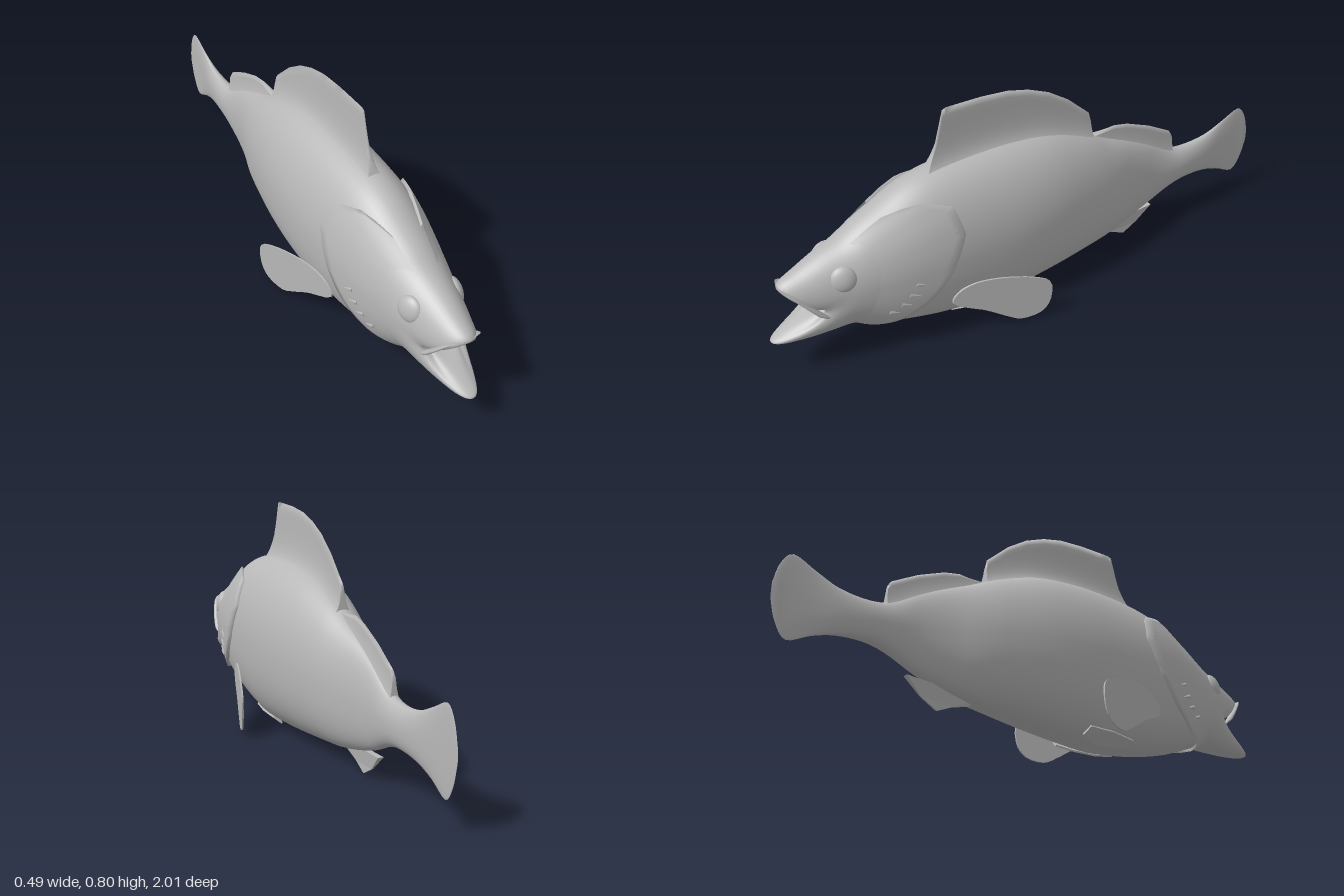
import * as THREE from 'three';

// Cross-sections from tail to throat: z, bottom, top, half width, jaw stretch
const SECTIONS = [
  [-1.0, .22, .27, .001, 0], [-.98, .15, .34, .003, 0], [-.94, .1, .383, .005, 0],
  [-.86, .135, .35, .013, 0], [-.78, .16, .318, .025, 0], [-.68, .168, .308, .036, 0],
  [-.6, .152, .325, .04, 0], [-.5, .11, .385, .047, 0], [-.4, .08, .435, .068, 0],
  [-.3, .058, .48, .1, 0], [-.2, .047, .53, .125, 0], [-.05, .032, .585, .153, 0],
  [.1, .02, .608, .167, 0], [.25, .013, .612, .168, 0], [.4, .03, .602, .163, 0],
  [.5, .05, .578, .155, 0], [.6, .078, .53, .142, 0], [.67, .105, .495, .128, 0],
  [.74, .13, .455, .112, 0], [.78, .132, .425, .1, .3], [.81, .135, .392, .088, .65],
  [.83, .145, .362, .072, 1], [.825, .165, .338, .052, .95], [.78, .228, .328, .046, .3],
  [.7, .24, .31, .04, 0], [.69, .272, .274, .001, 0],
];
const LAST = SECTIONS.length - 1;
const spline = new THREE.CubicInterpolant(SECTIONS.map((_, i) => i), SECTIONS.flat(), 5);

// Point on the body skin at section position u and angle t, pushed out by d;
// the back is narrower than the belly
function skin(u, t, d = 0) {
  const [z, lo, hi, w, jaw] = spline.evaluate(u);
  const c = Math.cos(t), s = Math.sin(t);
  const round = (v, p) => Math.sign(v) * Math.abs(v) ** p;
  const reach = s > 0 ? 0.125 * s ** 0.7 : 0.17 * (-s) ** 1.6;
  const y = (lo + hi) / 2 + round(s, s > 0 ? 1 : .87) * ((hi - lo) / 2 + d);
  return [round(c, s > 0 ? 1.02 : .87) * (w + d), y, z + jaw * reach];
}

function sectionAt(z) {
  let i = 0;
  while (i < 20 && SECTIONS[i + 1][0] < z) i++;
  return i + (z - SECTIONS[i][0]) / (SECTIONS[i + 1][0] - SECTIONS[i][0]);
}

// Smooth surface from a grid of points
function grid(rows, cols, closed, point) {
  const pos = [], index = [], n = closed ? cols : cols + 1;
  for (let i = 0; i <= rows; i++) for (let j = 0; j < n; j++) pos.push(...point(i / rows, j / cols));
  for (let i = 0; i < rows; i++) for (let j = 0; j < cols; j++) {
    const a = i * n + j, b = i * n + (j + 1) % n;
    index.push(a, b, a + n, b, b + n, a + n);
  }
  const g = new THREE.BufferGeometry();
  g.setAttribute('position', new THREE.Float32BufferAttribute(pos, 3));
  g.setIndex(index);
  g.computeVertexNormals();
  return g;
}

// Back fin rising from the skin to a [z, y] edge, flaring softly at the root
function backFin(edge, flare) {
  const n = edge.length - 1;
  return grid(n * 3, 32, false, (a, b) => {
    const i = Math.min(n - 1, Math.floor(a * n + 1e-6)), f = a * n - i;
    const z = THREE.MathUtils.lerp(edge[i][0], edge[i + 1][0], f);
    const tip = THREE.MathUtils.lerp(edge[i][1], edge[i + 1][1], f);
    const root = skin(sectionAt(z), Math.PI / 2)[1] - .01;
    const k = 1 - Math.abs(2 * b - 1), h = Math.max(0, tip - root) * k * k;
    const x = .0015 + flare * Math.exp(-h / .03) + .006 * Math.exp(-h / .1);
    return [Math.sign(2 * b - 1) * x, root + h, z];
  });
}

// Flat fin from a [z, y] outline; rule moves each vertex, with x running from -1 to 1
function fin(outline, rule) {
  const shape = new THREE.Shape(outline.map(([z, y]) => new THREE.Vector2(-z, y)));
  const g = new THREE.ExtrudeGeometry(shape, { depth: 2, bevelEnabled: false });
  g.translate(0, 0, -1).rotateY(Math.PI / 2);
  const p = g.attributes.position;
  for (let i = 0; i < p.count; i++) p.setXYZ(i, ...rule(p.getX(i), p.getY(i), p.getZ(i)));
  g.computeVertexNormals();
  return g;
}

// Rounded outline through a few points
function rounded(points, count = 36) {
  const curve = new THREE.CatmullRomCurve3(points.map(([z, y]) => new THREE.Vector3(z, y, 0)), true, 'centripetal');
  return curve.getPoints(count).slice(0, -1).map(p => [p.x, p.y]);
}

export function createModel() {
  const fish = new THREE.Group();
  fish.name = 'fish';
  const grey = new THREE.MeshStandardMaterial({ color: 0xb8b8b8, side: THREE.DoubleSide });
  grey.name = 'grey';
  const add = (name, geometry) => {
    const mesh = new THREE.Mesh(geometry, grey);
    mesh.name = name;
    fish.add(mesh);
    return mesh;
  };

  // Body, tail fin and open mouth in one skin
  add('body', grid(LAST * 4, 48, true, (a, b) => skin(a * LAST, b * Math.PI * 2)));

  // Fins on the midline
  add('frontDorsalFin', backFin([[.415, .6], [.405, .62], [.375, .69], [.345, .8], [.33, .806], [.2, .803],
    [.1, .793], [.02, .772], [-.06, .737], [-.14, .683], [-.23, .6], [-.235, .575], [-.24, .5]], .02));
  add('rearDorsalFin', backFin([[-.23, .5], [-.25, .504], [-.34, .511], [-.4, .498], [-.5, .456],
    [-.6, .4], [-.613, .38], [-.617, .315]], .008));
  add('analFin', fin([[-.26, .08], [-.29, .048], [-.35, .032], [-.41, .005], [-.47, .038], [-.53, .095],
    [-.44, .09], [-.42, .12]], (x, y, z) => [x * (y > .07 ? .01 : .003), y, z]));

  // Edge of the gill cover: height on the section against z
  const edge = [[-1, .72], [-.68, .6], [-.36, .5], [-.05, .42], [.36, .362], [.68, .385], [.85, .5], [.96, .65]];
  const edgeZ = s => {
    const i = edge.findIndex(e => e[0] > s) - 1;
    return THREE.MathUtils.mapLinear(s, edge[i][0], edge[i + 1][0], edge[i][1], edge[i + 1][1]);
  };

  for (const [side, word] of [[1, 'left'], [-1, 'right']]) {
    const mirror = p => [p[0] * side, p[1], p[2]];

    // Gill cover with a raised rear rim
    add(word + 'GillCover', grid(12, 40, false, (a, b) => {
      const s = -1 + b * 1.93, k = Math.max(0, (a - 1 / 12) * 12 / 11);
      const z = THREE.MathUtils.lerp(edgeZ(s), .77, k);
      return mirror(skin(sectionAt(z), Math.asin(s), a === 0 ? -.006 : .012 - .017 * k));
    }));

    // Spines on the cheek
    for (const [z, y, size] of [[.53, .29, .02], [.55, .255, .022], [.58, .225, .02], [.62, .2, .018], [.38, .43, .02]]) {
      const [, lo, hi] = spline.evaluate(sectionAt(z));
      const p = skin(sectionAt(z), Math.asin((y - (lo + hi) / 2) / ((hi - lo) / 2)), .007);
      const spine = add(word + 'CheekSpine', new THREE.ConeGeometry(size * .4, size * 2, 8));
      spine.position.set(...mirror(p));
      spine.rotation.set(-1.9, 0, -side * .3);
    }

    // Eye
    const eye = add(word + 'Eye', new THREE.SphereGeometry(.045, 24, 16));
    eye.scale.x = .5;
    eye.position.set(side * .083, .36, .768);
    eye.rotation.set(0, -side * .3, side * .25);

    // Upper lip plate hanging past the mouth corner
    const lip = new THREE.CatmullRomCurve3([[0, .352, .952], [.045, .34, .932], [.068, .29, .89], [.081, .225, .835]]
      .map(p => new THREE.Vector3(...mirror(p))));
    add(word + 'UpperLip', grid(16, 12, true, (a, b) => {
      const p = lip.getPoint(a), t = b * Math.PI * 2;
      const r = a === 1 ? .001 : .011 + .012 * a;
      return [p.x + Math.cos(t) * (a === 1 ? .001 : .01), p.y + Math.sin(t) * r * .6, p.z + Math.sin(t) * r];
    }));

    // Pectoral fin, swept out from the flank
    const pectoral = rounded([[.42, .145], [.4, .185], [.35, .21], [.26, .212], [.13, .18], [.085, .15],
      [.088, .065], [.12, .025], [.19, .014], [.24, .04], [.31, .085]]);
    add(word + 'PectoralFin', fin(pectoral, (x, y, z) => [
      side * THREE.MathUtils.mapLinear(z, .42, .08, .15, .24) + x * .003, y, z]));

    // Pelvic fin, folded against the belly; outline height is the skin angle
    const pelvic = [[.38, -1.22], [.34, -1.08], [.24, -.98], [.14, -1.0], [.13, -1.2], [.19, -1.32], [.29, -1.3]];
    add(word + 'PelvicFin', fin(pelvic, (x, y, z) =>
      mirror(skin(sectionAt(z), y, .003 + (.38 - z) * .02 + x * .003))));
  }
  return fish;
}
